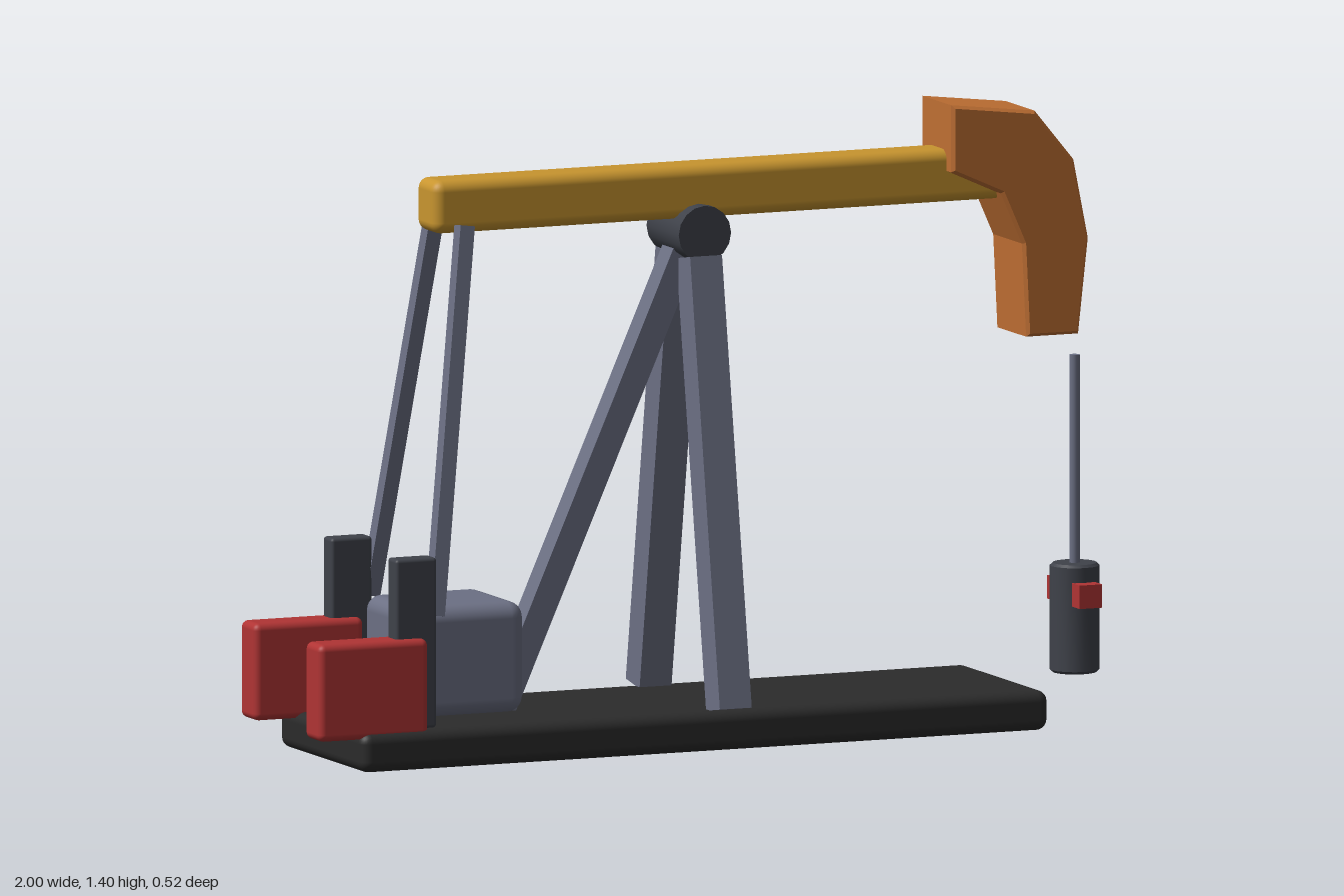
import * as THREE from 'three';
import { RoundedBoxGeometry } from 'three/addons/geometries/RoundedBoxGeometry.js';
import { toCreasedNormals } from 'three/addons/utils/BufferGeometryUtils.js';

const paint = (color) => new THREE.MeshStandardMaterial({ color });
const black = paint(0x2b2b2b);
const iron = paint(0x3f424a);
const steel = paint(0x6c7084);
const red = paint(0xb03434);
const yellow = paint(0xc8952f);
const orange = paint(0xbf6f33);

export function createModel() {
  const model = new THREE.Group();

  function add(name, geometry, material, x = 0, y = 0, z = 0) {
    const mesh = new THREE.Mesh(geometry, material);
    mesh.name = name;
    mesh.position.set(x, y, z);
    model.add(mesh);
    return mesh;
  }

  // Rounded block given by its extents on each axis
  function block(name, material, [x0, x1], [y0, y1], [z0, z1], radius) {
    const geometry = new RoundedBoxGeometry(x1 - x0, y1 - y0, z1 - z0, 3, radius);
    return add(name, geometry, material, (x0 + x1) / 2, (y0 + y1) / 2, (z0 + z1) / 2);
  }

  // Square bar between two points, kept upright to the x axis
  function bar(name, material, from, to, size) {
    const a = new THREE.Vector3(...from);
    const b = new THREE.Vector3(...to);
    const mesh = add(name, new THREE.BoxGeometry(size, a.distanceTo(b), size), material);
    mesh.position.copy(a).add(b).multiplyScalar(0.5);
    mesh.quaternion.setFromUnitVectors(new THREE.Vector3(0, 1, 0), b.sub(a).normalize());
    return mesh;
  }

  // Skid base and gearbox
  block('base', black, [-0.9, 0.78], [0, 0.09], [-0.235, 0.235], 0.025);
  block('gearbox', steel, [-0.74, -0.455], [0.1, 0.35], [-0.135, 0.135], 0.035);

  // Support frame: two splayed legs and a rear brace
  bar('rearBrace', steel, [-0.465, 0.1, 0], [-0.005, 1.14, 0], 0.062);
  for (const side of [1, -1]) {
    const label = side > 0 ? 'front' : 'back';
    bar(label + 'Leg', steel, [0, 0.093, side * 0.224], [0, 1.095, side * 0.058], 0.078);

    // Crank, counterweight and connecting rod on each side
    const span = (a, b) => (side > 0 ? [a, b] : [-b, -a]);
    block(label + 'Crank', iron, [-0.805, -0.705], [0.09, 0.475], span(0.155, 0.205), 0.008);
    block(label + 'Counterweight', red, [-1, -0.732], [0.075, 0.295], span(0.138, 0.223), 0.016);
    bar(label + 'ConnectingRod', steel, [-0.7, 0.34, side * 0.18], [-0.585, 1.203, side * 0.085], 0.035);
  }

  // Pivot bearing under the walking beam
  const bearing = toCreasedNormals(new THREE.CylinderGeometry(0.064, 0.064, 0.18, 16), 0.6);
  add('pivotBearing', bearing, iron, 0, 1.15, 0).rotation.x = Math.PI / 2;

  block('walkingBeam', yellow, [-0.645, 0.76], [1.18, 1.3], [-0.055, 0.055], 0.025);

  // Curved head, a faceted bevelled extrusion
  const outline = [
    [0.613, 1.257], [0.733, 1.203], [0.786, 1.083], [0.796, 0.877], [0.91, 0.877],
    [0.933, 1.085], [0.898, 1.262], [0.806, 1.374], [0.613, 1.397],
  ].map(([x, y]) => new THREE.Vector2(x, y));
  const head = new THREE.ExtrudeGeometry(new THREE.Shape(outline), {
    depth: 0.16, bevelThickness: 0.008, bevelSize: 0.007, bevelSegments: 1,
  });
  head.translate(0, 0, -0.08);
  add('beamHead', toCreasedNormals(head, 0.2), orange);

  // Wellhead, polished rod and side valves
  const wellX = 0.943;
  const wellProfile = [[0, 0.093], [0.05, 0.093], [0.056, 0.099], [0.056, 0.334], [0.05, 0.34], [0, 0.34]]
    .map(([r, y]) => new THREE.Vector2(r, y));
  add('wellhead', toCreasedNormals(new THREE.LatheGeometry(wellProfile, 16), 0.6), iron, wellX);
  add('polishedRod', new THREE.CylinderGeometry(0.012, 0.012, 0.49, 12), steel, wellX, 0.565, 0);
  for (const side of [1, -1]) {
    add(side > 0 ? 'frontValve' : 'backValve', new THREE.BoxGeometry(0.055, 0.053, 0.053), red,
      wellX, 0.274, side * 0.064);
  }

  return model;
}
